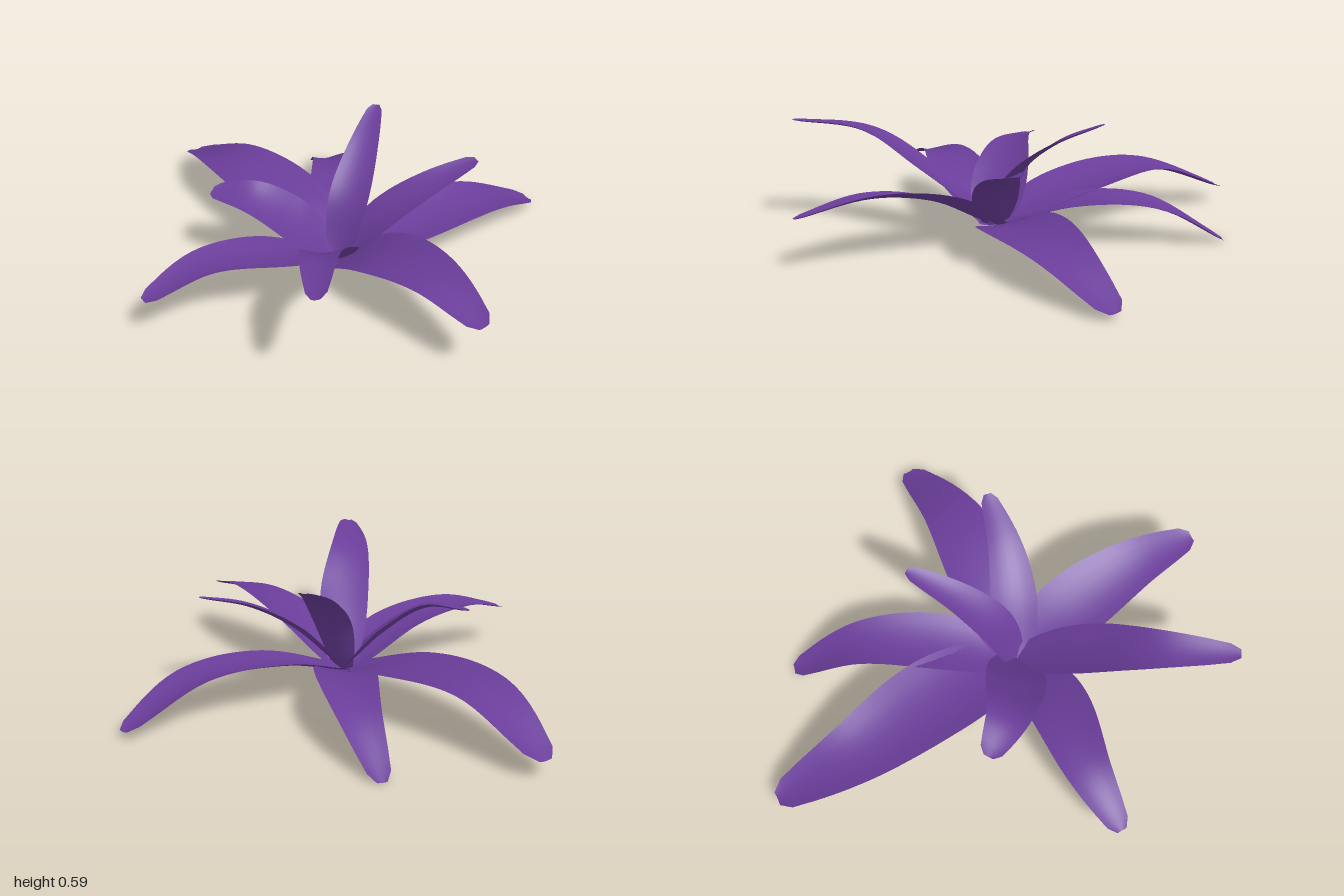
import * as THREE from 'three';

const leafPurple = new THREE.MeshStandardMaterial({ color: 0x6a3d9a, side: THREE.DoubleSide });
leafPurple.name = 'leafPurple';

const ROOT = [-0.07, 0.072, 0.06];
const UP = new THREE.Vector3(0, 1, 0);

// Width along every leaf, as a share of its widest half.
const outline = new THREE.SplineCurve(
  [0.55, 0.83, 0.98, 0.98, 0.87, 0.71, 0.53, 0.33].map((w, i) => new THREE.Vector2(i / 7, w)));

// Sweep a shallow channel section from the root through three midrib points.
// halfWidth is the widest half; roll lifts one edge above the other.
function makeLeaf(name, halfWidth, roll, ...points) {
  const rows = 24, cols = 6, cup = 0.18;
  const midrib = new THREE.CatmullRomCurve3([ROOT, ...points].map((p) => new THREE.Vector3(...p)));
  const positions = [], index = [];
  for (let i = 0; i <= rows; i++) {
    const t = i / rows;
    const centre = midrib.getPointAt(t);
    const tangent = midrib.getTangentAt(t);
    const side = UP.clone().cross(tangent).normalize();
    const normal = tangent.clone().cross(side);
    // The last row is drawn in to round the tip.
    const half = halfWidth * outline.getPoint(t).y * (i === rows ? 0.5 : 1);
    for (let j = 0; j <= cols; j++) {
      const u = (2 * j) / cols - 1;
      const p = centre.clone()
        .addScaledVector(side, half * u)
        .addScaledVector(normal, half * (cup * (u * u - 0.4) + roll * u));
      positions.push(p.x, p.y, p.z);
      if (i < rows && j < cols) {
        const a = i * (cols + 1) + j, b = a + cols + 1;
        index.push(a, b, a + 1, b, b + 1, a + 1);
      }
    }
  }
  const geometry = new THREE.BufferGeometry();
  geometry.setAttribute('position', new THREE.Float32BufferAttribute(positions, 3));
  geometry.setIndex(index);
  geometry.computeVertexNormals();
  const leaf = new THREE.Mesh(geometry, leafPurple);
  leaf.name = name;
  return leaf;
}

export function createModel() {
  const plant = new THREE.Group();
  plant.name = 'leafRosette';

  // Outer leaves, arching over and drooping
  plant.add(
    makeLeaf('frontLeftLeaf', 0.148, 0.22, [0.1, 0.23, 0.29], [0.29, 0.295, 0.57], [0.46, 0.245, 0.855]),
    makeLeaf('leftLeaf', 0.168, 0.13, [0.25, 0.165, -0.07], [0.6, 0.17, -0.25], [0.89, 0.035, -0.47]),
    makeLeaf('backLeaf', 0.133, 0, [-0.04, 0.195, -0.32], [-0.045, 0.185, -0.65], [-0.11, 0.005, -0.97]),
    makeLeaf('backRightLeaf', 0.19, 0, [-0.3, 0.2, -0.29], [-0.56, 0.225, -0.64], [-0.735, 0.08, -0.995]),
    makeLeaf('frontRightLeaf', 0.138, 0, [-0.33, 0.215, 0.23], [-0.64, 0.265, 0.36], [-0.89, 0.19, 0.505]),
  );

  // Inner leaves, rising from the heart
  plant.add(
    makeLeaf('frontLeaf', 0.112, 0.13, [-0.11, 0.3, 0.36], [-0.17, 0.475, 0.65], [-0.2, 0.51, 1]),
    makeLeaf('upperBackLeaf', 0.093, 0, [-0.01, 0.32, -0.04], [0.06, 0.475, -0.2], [0.14, 0.59, -0.42]),
    makeLeaf('upperRightLeaf', 0.135, -0.25, [-0.25, 0.25, 0.05], [-0.44, 0.37, 0.015], [-0.615, 0.37, -0.065]),
    makeLeaf('upperLeftLeaf', 0.105, 0.15, [0.14, 0.28, 0.04], [0.34, 0.4, 0], [0.56, 0.473, -0.08]),
  );
  return plant;
}
